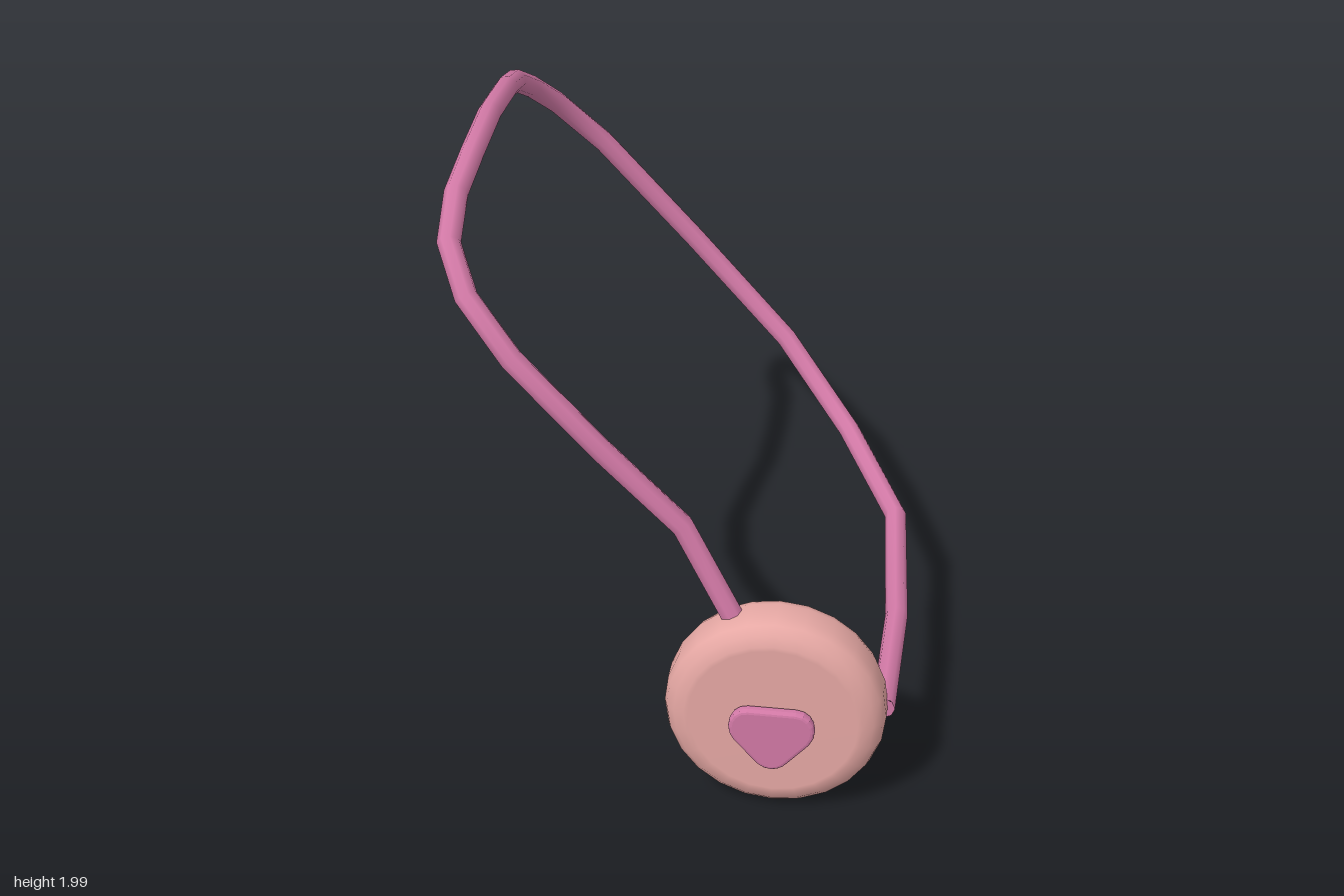
import * as THREE from 'three';

// Curve that passes straight from corner to corner, one tube ring per corner
class CornerPath extends THREE.Curve {
  constructor(points) {
    super();
    this.points = points;
  }
  index(u) {
    return Math.round(u * (this.points.length - 1));
  }
  getPointAt(u, target = new THREE.Vector3()) {
    return target.copy(this.points[this.index(u)]);
  }
  getPoint(u, target) {
    return this.getPointAt(u, target);
  }
  getTangentAt(u, target = new THREE.Vector3()) {
    const i = this.index(u), p = this.points, last = p.length - 1;
    const dir = (a, b) => new THREE.Vector3().subVectors(p[b], p[a]).normalize();
    target.set(0, 0, 0);
    if (i > 0) target.add(dir(i - 1, i));
    if (i < last) target.add(dir(i, i + 1));
    return target.normalize();
  }
}

export function createModel() {
  const group = new THREE.Group();
  const skin = new THREE.MeshStandardMaterial({ color: 0xe6a8a4 });
  const pink = new THREE.MeshStandardMaterial({ color: 0xd279a6 });
  const add = (name, geometry, material) => {
    const mesh = new THREE.Mesh(geometry, material);
    mesh.name = name;
    group.add(mesh);
    return mesh;
  };

  // Round pouch: a disc with a softly rounded rim, facing +z
  const half = [[0, 0.105], [0.27, 0.105], [0.285, 0.104], [0.318, 0.092], [0.343, 0.067], [0.354, 0.035]];
  const profile = [...half.map(([r, h]) => [r, -h]), ...half.slice().reverse()]
    .map(([r, h]) => new THREE.Vector2(r, h));
  const pouch = add('pouch', new THREE.LatheGeometry(profile, 24).rotateX(Math.PI / 2), skin);
  pouch.position.set(0.36, 0.362, 0.805);

  // Nose: a rounded triangle pointing down, with rounded edges
  const s = new THREE.Shape();
  s.moveTo(-0.075, 0.1);
  s.lineTo(0.075, 0.1);
  s.bezierCurveTo(0.12, 0.1, 0.14, 0.04, 0.11, 0);
  s.lineTo(0.045, -0.075);
  s.bezierCurveTo(0.02, -0.11, -0.02, -0.11, -0.045, -0.075);
  s.lineTo(-0.11, 0);
  s.bezierCurveTo(-0.14, 0.04, -0.12, 0.1, -0.075, 0.1);
  const noseShape = new THREE.ExtrudeGeometry(s, {
    depth: 0.012, curveSegments: 6, bevelThickness: 0.013, bevelSize: 0.013, bevelOffset: 0, bevelSegments: 3,
  });
  add('nose', noseShape, pink).position.set(0.36, 0.312, 0.927);

  // Strap: a long loop from the top of the pouch round to its left side
  const path = new CornerPath([
    [0.215, 0.67, 0.79], [0.05, 0.96, 0.74], [-0.2, 1.22, 0.75], [-0.47, 1.51, 0.74],
    [-0.62, 1.67, 0.66], [-0.695, 1.79, 0.54], [-0.705, 1.88, 0.38], [-0.69, 1.94, 0.2],
    [-0.69, 1.962, -0.05], [-0.69, 1.94, -0.31], [-0.705, 1.88, -0.51], [-0.68, 1.8, -0.65],
    [-0.62, 1.69, -0.78], [-0.47, 1.51, -0.865], [-0.15, 1.13, -0.91], [0.2, 0.76, -0.865],
    [0.46, 0.53, -0.625], [0.66, 0.405, -0.27], [0.705, 0.36, 0.28], [0.7, 0.36, 0.79],
  ].map((p) => new THREE.Vector3(...p)));
  const radius = 0.038;
  add('strap', new THREE.TubeGeometry(path, path.points.length - 1, radius, 8, false), pink);

  // Caps closing both strap ends
  for (const [u, sign] of [[0, -1], [1, 1]]) {
    const cap = add('strapEnd', new THREE.CircleGeometry(radius, 8), pink);
    cap.position.copy(path.getPointAt(u));
    cap.quaternion.setFromUnitVectors(new THREE.Vector3(0, 0, 1), path.getTangentAt(u).multiplyScalar(sign));
  }
  return group;
}
